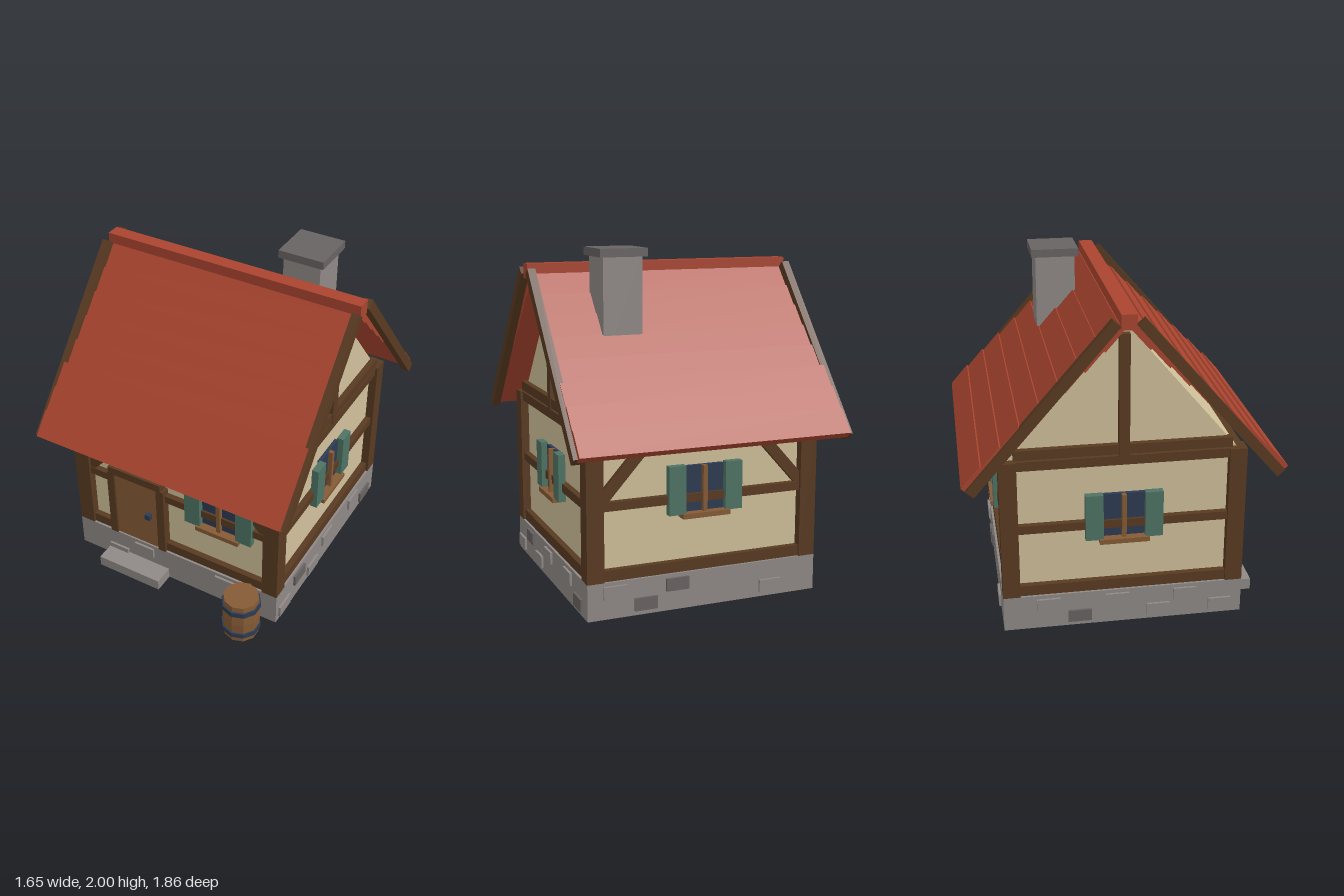
import * as THREE from 'three';

const mat = (name, color) => {
  const m = new THREE.MeshStandardMaterial({ color });
  m.name = name;
  return m;
};

export function createModel() {
  const plaster = mat('plaster', 0xd0c09a);
  const timber = mat('dark timber', 0x593a21);
  const wood = mat('light wood', 0x855b36);
  const tile = mat('roof tile', 0xa9442f);
  const stone = mat('stone', 0x8f8986);
  const darkStone = mat('dark stone', 0x696363);
  const shutterGreen = mat('shutter green', 0x4e7364);
  const navy = mat('dark blue', 0x2d3b52);

  const model = new THREE.Group();
  model.name = 'cottage';
  const house = new THREE.Group();
  house.name = 'house';
  house.position.z = -0.022;
  model.add(house);

  const add = (parent, name, geometry, material) => {
    const mesh = new THREE.Mesh(geometry, material);
    mesh.name = name;
    parent.add(mesh);
    return mesh;
  };
  // Box given by its lower and upper limits on each axis
  const box = (parent, name, material, x0, x1, y0, y1, z0, z1) => {
    const m = add(parent, name, new THREE.BoxGeometry(x1 - x0, y1 - y0, z1 - z0), material);
    m.position.set((x0 + x1) / 2, (y0 + y1) / 2, (z0 + z1) / 2);
    return m;
  };
  const group = (parent, name, angle = 0) => {
    const g = new THREE.Group();
    g.name = name;
    g.rotation.y = angle;
    parent.add(g);
    return g;
  };

  // Stone base and plastered body with gables
  box(house, 'foundation', stone, -0.7, 0.7, 0, 0.212, -0.7, 0.7);
  const profile = new THREE.Shape([
    [-0.65, 0.2], [0.65, 0.2], [0.65, 1.05], [0, 1.82], [-0.65, 1.05],
  ].map(([x, y]) => new THREE.Vector2(x, y)));
  const body = new THREE.ExtrudeGeometry(profile, { depth: 1.3, bevelEnabled: false });
  body.translate(0, 0, -0.65).rotateY(Math.PI / 2);
  add(house, 'walls', body, plaster);

  // Corner posts
  for (const sx of [-1, 1]) for (const sz of [-1, 1]) {
    box(house, 'cornerPost', timber, sx * 0.65 - 0.05, sx * 0.65 + 0.05, 0.212, 1.055,
      sz * 0.65 - 0.05, sz * 0.65 + 0.05);
  }

  // Window with mullion, sill and two shutters, on a wall facing local +z
  const addWindow = (wall, x) => {
    const w = group(wall, 'window');
    w.position.x = x;
    box(w, 'glass', navy, -0.12, 0.12, 0.55, 0.817, 0.64, 0.672);
    box(w, 'mullion', wood, -0.013, 0.013, 0.55, 0.817, 0.66, 0.7);
    box(w, 'windowSill', wood, -0.143, 0.143, 0.526, 0.555, 0.65, 0.722);
    for (const s of [-1, 1]) {
      box(w, 'shutter', shutterGreen, s * 0.171 - 0.051, s * 0.171 + 0.051, 0.55, 0.828, 0.665, 0.708);
    }
  };

  // Timber frame of one wall; stones are [x, y, dark]
  const addWall = (name, angle, windowX, gable, stones) => {
    const wall = group(house, name, angle);
    for (const [part, y0, y1] of [['soleBeam', 0.212, 0.276], ['middleRail', 0.61, 0.66], ['topBeam', 1, 1.055]]) {
      box(wall, part, timber, -0.62, 0.62, y0, y1, 0.64, 0.686);
    }
    if (gable) {
      box(wall, 'gableBeam', timber, -0.615, 0.615, 1.065, 1.122, 0.64, 0.686);
      box(wall, 'kingPost', timber, -0.03, 0.03, 1.05, 1.76, 0.64, 0.69);
    } else {
      for (const s of [-1, 1]) {
        const brace = add(wall, 'brace', new THREE.BoxGeometry(0.065, 0.5, 0.036), timber);
        brace.position.set(s * 0.46, 0.83, 0.664);
        brace.rotation.z = s * 0.73;
      }
    }
    addWindow(wall, windowX);
    for (const [x, y, dark] of stones) {
      box(wall, 'baseStone', dark ? darkStone : stone, x - 0.068, x + 0.068, y - 0.037, y + 0.037, 0.69, 0.714);
    }
    return wall;
  };
  const hi = 0.153, lo = 0.065;
  const front = addWall('frontWall', 0, 0.305, false,
    [[-0.413, lo], [-0.222, hi], [0.353, hi]]);
  addWall('backWall', Math.PI, 0, false,
    [[-0.54, hi], [-0.36, lo, true], [-0.17, hi, true], [0.41, lo]]);
  addWall('leftWall', Math.PI / 2, 0, true,
    [[-0.41, hi, true], [-0.024, hi], [0.36, hi], [-0.6, lo], [-0.222, lo], [0.55, lo, true]]);
  addWall('rightWall', -Math.PI / 2, 0, true,
    [[-0.44, hi], [-0.04, hi], [0.36, hi], [-0.26, lo, true], [0.2, lo], [0.57, lo]]);

  // Door, frame, handle and step
  const door = group(front, 'door');
  box(door, 'doorPanel', wood, -0.417, -0.118, 0.212, 0.7, 0.64, 0.69);
  box(door, 'doorJamb', timber, -0.466, -0.417, 0.212, 0.695, 0.64, 0.705);
  box(door, 'doorJamb', timber, -0.118, -0.066, 0.212, 0.695, 0.64, 0.705);
  box(door, 'lintel', timber, -0.452, -0.083, 0.695, 0.746, 0.64, 0.71);
  box(door, 'doorHandle', navy, -0.199, -0.163, 0.438, 0.474, 0.68, 0.718);
  box(house, 'doorStep', stone, -0.482, -0.05, 0, 0.07, 0.68, 0.825);

  // Roof: each slope has eight tile courses and a barge board at either end
  const pitch = 0.856, len = 0.162, thick = 0.05;
  const c = Math.cos(pitch), s = Math.sin(pitch);
  for (const [name, angle] of [['frontRoof', 0], ['backRoof', Math.PI]]) {
    const slope = group(house, name, angle);
    for (let k = 0; k < 8; k++) {
      const half = k < 4 ? 0.777 : 0.799;
      const course = add(slope, 'tileCourse', new THREE.BoxGeometry(half * 2, thick, len), tile);
      course.position.set(0,
        1.849 - 0.107 * k - s * len / 2 - c * thick / 2,
        0.051 + 0.107 * k + c * len / 2 - s * thick / 2);
      course.rotation.x = pitch;
    }
    for (const side of [-1, 1]) {
      const board = add(slope, 'bargeBoard', new THREE.BoxGeometry(0.046, 0.058, 1.212), timber);
      board.position.set(side * 0.802, 1.405, 0.463);
      board.rotation.x = pitch;
    }
  }
  box(house, 'ridgeCap', tile, -0.813, 0.813, 1.82, 1.905, -0.042, 0.042);

  // Chimney
  box(house, 'chimney', stone, 0.25, 0.48, 1.35, 1.96, -0.378, -0.143);
  box(house, 'chimneyCap', darkStone, 0.226, 0.505, 1.953, 2, -0.403, -0.123);

  // Ten-sided barrel with two hoops
  const barrel = group(model, 'barrel');
  barrel.position.set(0.54, 0, 0.815);
  const lathe = (points) => {
    const g = new THREE.LatheGeometry(points.map(([x, y]) => new THREE.Vector2(x, y)), 10).toNonIndexed();
    g.computeVertexNormals();
    return g;
  };
  add(barrel, 'barrelBody', lathe([[0, 0], [0.106, 0], [0.113, 0.14], [0.106, 0.28], [0, 0.28]]), wood);
  for (const y of [0.055, 0.228]) {
    add(barrel, 'hoop', lathe([[0.1, y - 0.016], [0.118, y - 0.016], [0.118, y + 0.016], [0.1, y + 0.016]]), navy);
  }
  return model;
}
